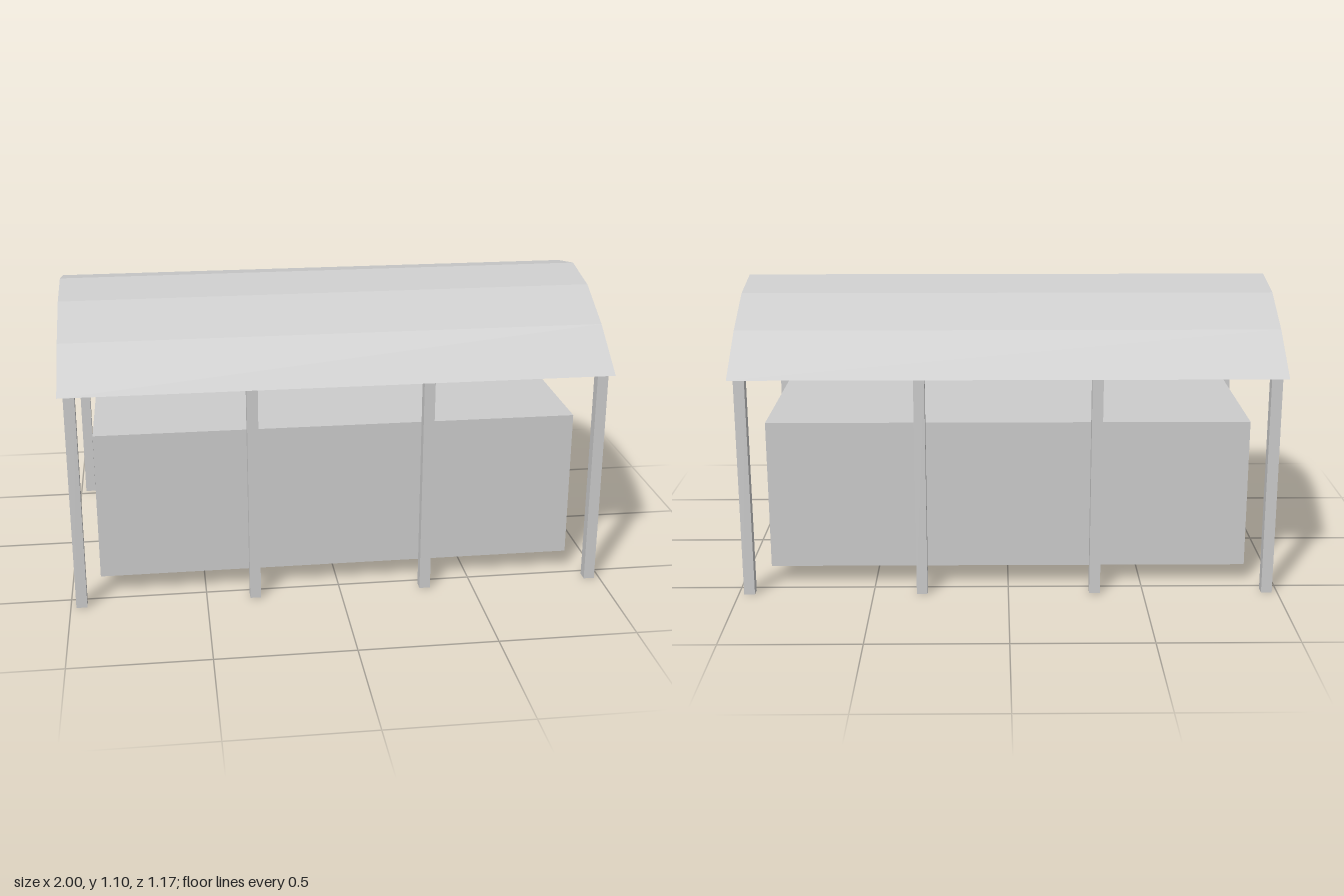
import * as THREE from 'three';

export function createModel() {
  const group = new THREE.Group();
  const grey = new THREE.MeshStandardMaterial({ color: 0xcccccc, flatShading: true, side: THREE.DoubleSide });
  grey.name = 'light grey';

  const addBox = (name, w, h, d, x, y, z) => {
    const mesh = new THREE.Mesh(new THREE.BoxGeometry(w, h, d), grey);
    mesh.name = name;
    mesh.position.set(x, y, z);
    group.add(mesh);
  };

  // Raised block under the canopy
  addBox('block', 1.78, 0.56, 0.93, 0, 0.352, 0);

  // Four posts along the front and four along the back
  const eaves = 0.823;
  for (const z of [-0.547, 0.547]) {
    for (const x of [-0.96, -0.32, 0.32, 0.96]) {
      addBox('post', 0.04, eaves, 0.04, x, eaves / 2, z);
    }
  }

  // Arched sheet roof: six flat strips following a cosine curve
  const halfDepth = 0.587, rise = 0.277;
  const sheet = new THREE.PlaneGeometry(2, halfDepth * 2, 1, 6).rotateX(-Math.PI / 2);
  const pos = sheet.attributes.position;
  for (let i = 0; i < pos.count; i++) {
    pos.setY(i, eaves + rise * Math.cos((pos.getZ(i) / halfDepth) * Math.PI / 2));
  }
  const roofGeometry = sheet.toNonIndexed();
  roofGeometry.computeVertexNormals();
  const roof = new THREE.Mesh(roofGeometry, grey);
  roof.name = 'roof';
  group.add(roof);

  return group;
}
